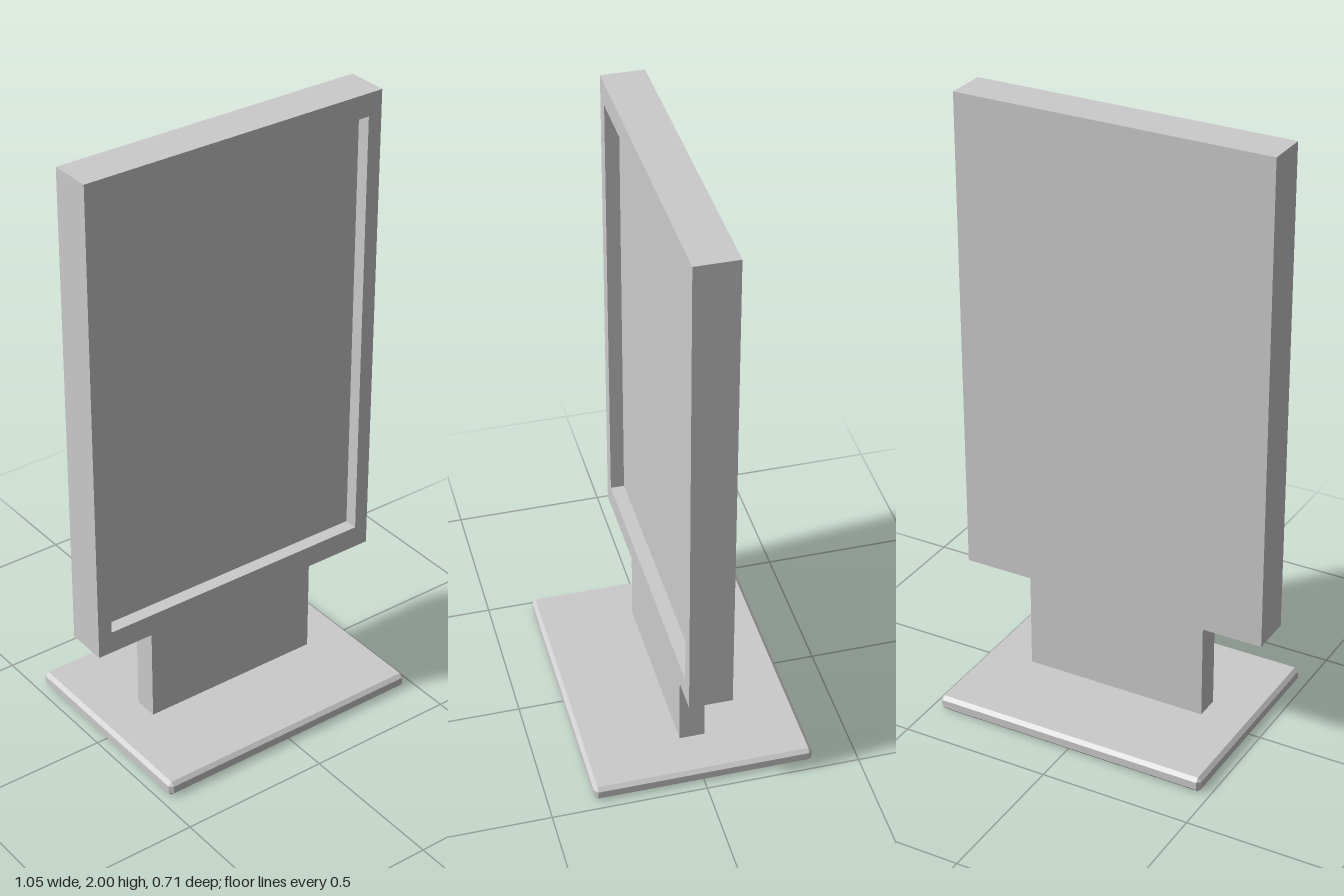
import * as THREE from 'three';
import { ConvexGeometry } from 'three/addons/geometries/ConvexGeometry.js';

const material = new THREE.MeshStandardMaterial({ color: 0xcccccc, flatShading: true });

function addPart(group, name, geometry, x, y, z) {
  const mesh = new THREE.Mesh(geometry, material);
  mesh.name = name;
  mesh.position.set(x, y, z);
  group.add(mesh);
}

// Box with every edge cut by a single flat chamfer
function chamferedBox(w, h, d, c) {
  const points = [];
  for (const sx of [-1, 1]) for (const sy of [-1, 1]) for (const sz of [-1, 1]) {
    const x = w / 2, y = h / 2, z = d / 2;
    for (const [px, py, pz] of [[x, y - c, z - c], [x - c, y, z - c], [x - c, y - c, z]]) {
      points.push(new THREE.Vector3(sx * px, sy * py, sz * pz));
    }
  }
  return new ConvexGeometry(points);
}

// Skin rectangular rings [halfWidth, halfHeight, z] and close the first one at the back
function ringShell(rings) {
  const corners = rings.map(([w, h, z]) => [[-w, -h, z], [w, -h, z], [w, h, z], [-w, h, z]]);
  const positions = [];
  const quad = (a, b, c, d) => positions.push(...a, ...b, ...c, ...a, ...c, ...d);
  const [p, q, r, s] = corners[0];
  quad(p, s, r, q);
  for (let k = 0; k < corners.length - 1; k++) {
    for (let i = 0; i < 4; i++) {
      const j = (i + 1) % 4;
      quad(corners[k][i], corners[k][j], corners[k + 1][j], corners[k + 1][i]);
    }
  }
  const geometry = new THREE.BufferGeometry();
  geometry.setAttribute('position', new THREE.Float32BufferAttribute(positions, 3));
  geometry.computeVertexNormals();
  return geometry;
}

export function createModel() {
  const group = new THREE.Group();
  group.name = 'displayStand';

  // Floor plate
  addPart(group, 'base', chamferedBox(0.938, 0.05, 0.712, 0.012), 0, 0.025, 0);

  // Upright between plate and housing
  addPart(group, 'post', new THREE.BoxGeometry(0.624, 0.385, 0.082), 0, 0.1975, 0);

  // Housing with a rim around the recessed screen
  const centreY = 1.195, recessZ = 0.024;
  addPart(group, 'housing', ringShell([
    [0.527, 0.805, -0.069],
    [0.527, 0.805, 0.069],
    [0.479, 0.73, 0.069],
    [0.479, 0.73, recessZ],
  ]), 0, centreY, 0);

  // Screen at the bottom of the recess
  addPart(group, 'screen', new THREE.PlaneGeometry(0.958, 1.46), 0, centreY, recessZ);

  return group;
}
